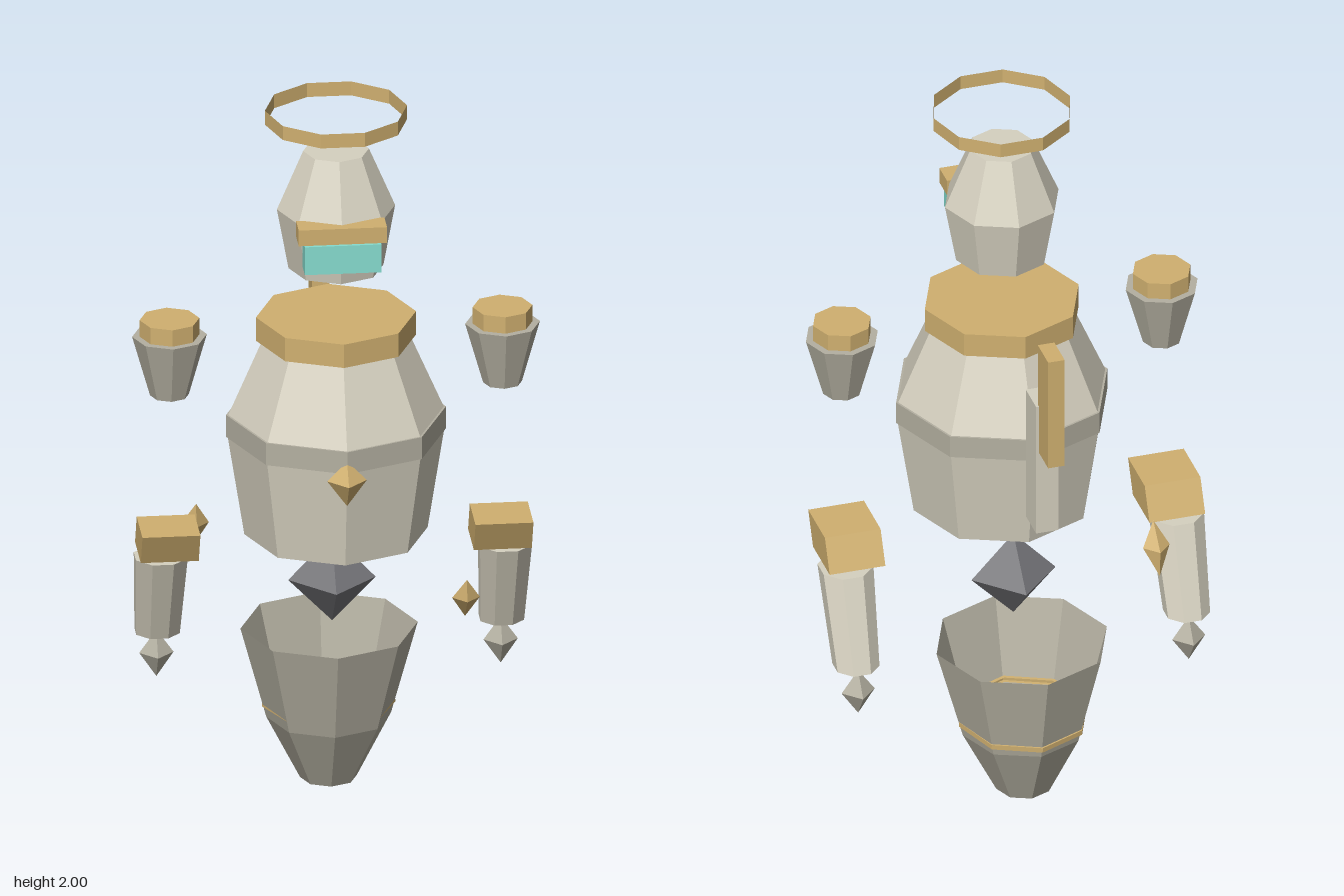
import * as THREE from 'three';

const mat = (color) => new THREE.MeshStandardMaterial({ color, flatShading: true, side: THREE.DoubleSide });

export function createModel() {
  const model = new THREE.Group();
  const stone = mat(0xd6d1c0), darkStone = mat(0xb4b0a1), gold = mat(0xd0b070);
  const cyan = mat(0x86dccf), coreGrey = mat(0x77777b);
  const BODY_Z = 0.075;

  function add(name, geometry, material, x = 0, y = 0, z = 0) {
    const mesh = new THREE.Mesh(geometry, material);
    mesh.name = name;
    mesh.position.set(x, y, z);
    model.add(mesh);
    return mesh;
  }

  // Faceted solid of revolution from [radius, y] pairs, with a corner on each axis
  const turned = (points, sides = 8) =>
    new THREE.LatheGeometry(points.map(([r, y]) => new THREE.Vector2(r, y)), sides);

  // Slant along z: dz per unit of height, keeping the ends level
  const lean = (geometry, k) =>
    geometry.applyMatrix4(new THREE.Matrix4().set(1, 0, 0, 0, 0, 1, 0, 0, 0, k, 1, 0, 0, 0, 0, 1));

  const box = (w, h, d) => new THREE.BoxGeometry(w, h, d);
  const crystal = (r, up, down) => turned([[0, -down], [r, 0], [0, up]], 4);

  // Floating halo, an open ten-sided band
  add('halo', new THREE.CylinderGeometry(0.19, 0.19, 0.04, 10, 1, true).rotateY(Math.PI / 2),
    gold, 0, 1.98, BODY_Z);

  // Head with brow and visor
  add('head', turned([[0, 1.545], [0.127, 1.545], [0.158, 1.715], [0.088, 1.88], [0, 1.88]]),
    stone, 0, 0, BODY_Z);
  add('brow', box(0.236, 0.045, 0.068), gold, 0, 1.703, 0.22);
  add('visor', box(0.205, 0.08, 0.06), cyan, 0, 1.64, 0.232);

  // Torso
  add('torso', turned([[0, 0.785], [0.245, 0.785], [0.29, 1.07], [0.288, 1.13], [0.195, 1.345], [0, 1.345]]),
    stone, 0, 0, BODY_Z);
  add('torsoBand', turned([[0.28, 1.067], [0.294, 1.067], [0.294, 1.13], [0.28, 1.13]]),
    darkStone, 0, 0, BODY_Z);
  add('collar', turned([[0, 1.34], [0.214, 1.34], [0.214, 1.407], [0, 1.407]]), gold, 0, 0, BODY_Z);
  add('chestGem', crystal(0.053, 0.055, 0.073), gold, 0, 1.046, 0.362);

  // Back plates
  add('upperBackPlate', box(0.046, 0.33, 0.093), gold, 0, 1.33, -0.37);
  add('lowerBackPlate', box(0.062, 0.395, 0.093), stone, 0, 1.112, -0.288);

  // Waist core and open-topped lower body
  add('waistCore', crystal(0.117, 0.125, 0.12), coreGrey, 0, 0.605, -0.03);
  add('lowerBody', lean(turned([[0, 0], [0.076, 0], [0.167, 0.18], [0.237, 0.44]]), 0.037),
    darkStone, 0, 0, -0.121);
  const belt = add('lowerBodyBelt', turned([[0.168, -0.007], [0.178, -0.007], [0.178, 0.007], [0.168, 0.007]]),
    gold, 0, 0.216, -0.116);
  belt.rotation.x = -0.05;

  // Shoulders and arms, mirrored
  for (const [side, s] of [['left', 1], ['right', -1]]) {
    add(side + 'Shoulder', turned([[0, 1.195], [0.052, 1.195], [0.1, 1.365], [0, 1.365]]),
      darkStone, s * 0.445, 0, BODY_Z);
    add(side + 'ShoulderCap', turned([[0, 1.36], [0.08, 1.36], [0.08, 1.412], [0, 1.412]]),
      gold, s * 0.445, 0, BODY_Z);
    add(side + 'Cuff', lean(box(0.155, 0.09, 0.15), 0.48), gold, s * 0.445, 0.762, 0.03);
    const arm = new THREE.CylinderGeometry(0.075, 0.063, 0.255, 8).rotateY(Math.PI / 8);
    add(side + 'Forearm', lean(arm, 0.37), stone, s * 0.46, 0.573, -0.053);
    add(side + 'HandCrystal', crystal(0.046, 0.065, 0.068), darkStone, s * 0.46, 0.375, -0.12);
  }

  // Drifting shards
  const shards = [
    ['rearShard', -0.35, 0.717, -0.184, 0.065, 0.075],
    ['frontShard', 0.333, 0.637, 0.215, 0.06, 0.065],
  ];
  for (const [name, x, y, z, up, down] of shards) {
    add(name, lean(crystal(0.037, up, down), 0.42), gold, x, y, z);
  }

  return model;
}
